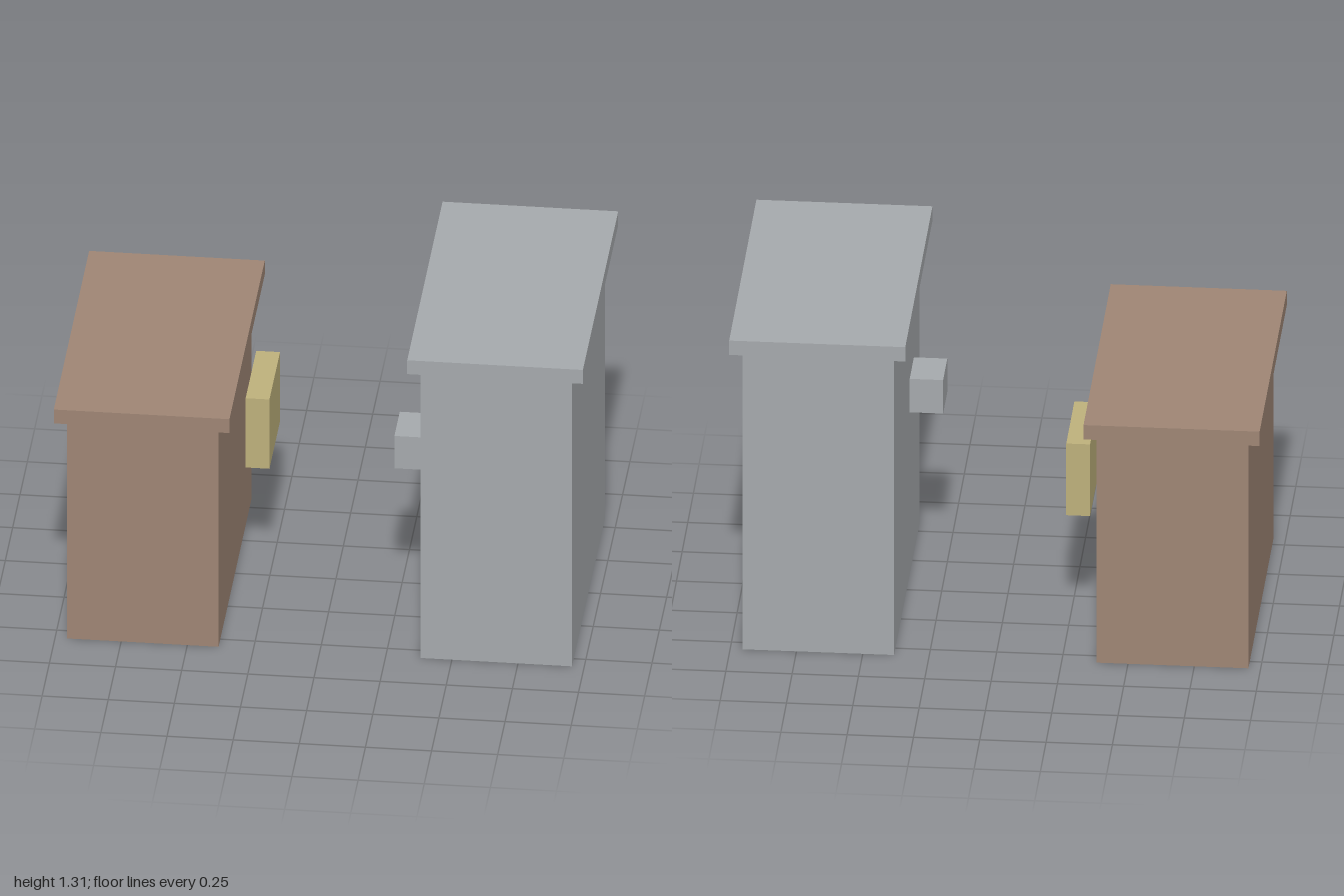
import * as THREE from 'three';

function material(name, color) {
  const m = new THREE.MeshStandardMaterial({ color });
  m.name = name;
  return m;
}

// Box given by its lower and upper corners
function box(name, mat, [x0, y0, z0], [x1, y1, z1]) {
  const mesh = new THREE.Mesh(new THREE.BoxGeometry(x1 - x0, y1 - y0, z1 - z0), mat);
  mesh.position.set((x0 + x1) / 2, (y0 + y1) / 2, (z0 + z1) / 2);
  mesh.name = name;
  return mesh;
}

// Block with an overhanging flat roof slab
function building(name, mat, x, wallHeight) {
  const group = new THREE.Group();
  group.name = name;
  group.add(
    box('walls', mat, [x - 0.286, 0, -0.558], [x + 0.286, wallHeight, 0.558]),
    box('roofSlab', mat, [x - 0.332, wallHeight, -0.602], [x + 0.332, wallHeight + 0.06, 0.602]),
  );
  return group;
}

export function createModel() {
  const model = new THREE.Group();
  model.name = 'facingBuildings';

  const brown = material('brown', 0x9e8574);
  const grey = material('grey', 0xa5a9ac);
  const yellow = material('dull yellow', 0xbdb07b);

  const low = building('lowBuilding', brown, -0.668, 0.954);
  const tall = building('tallBuilding', grey, 0.668, 1.252);

  // Sign stands clear of the wall, level with the roof edge
  low.add(box('hangingSign', yellow, [-0.336, 0.49, -0.31], [-0.246, 0.79, 0.05]));

  // Small unit fixed to the inner wall
  tall.add(box('wallUnit', grey, [0.256, 0.677, 0.134], [0.384, 0.817, 0.318]));

  model.add(low, tall);
  return model;
}
